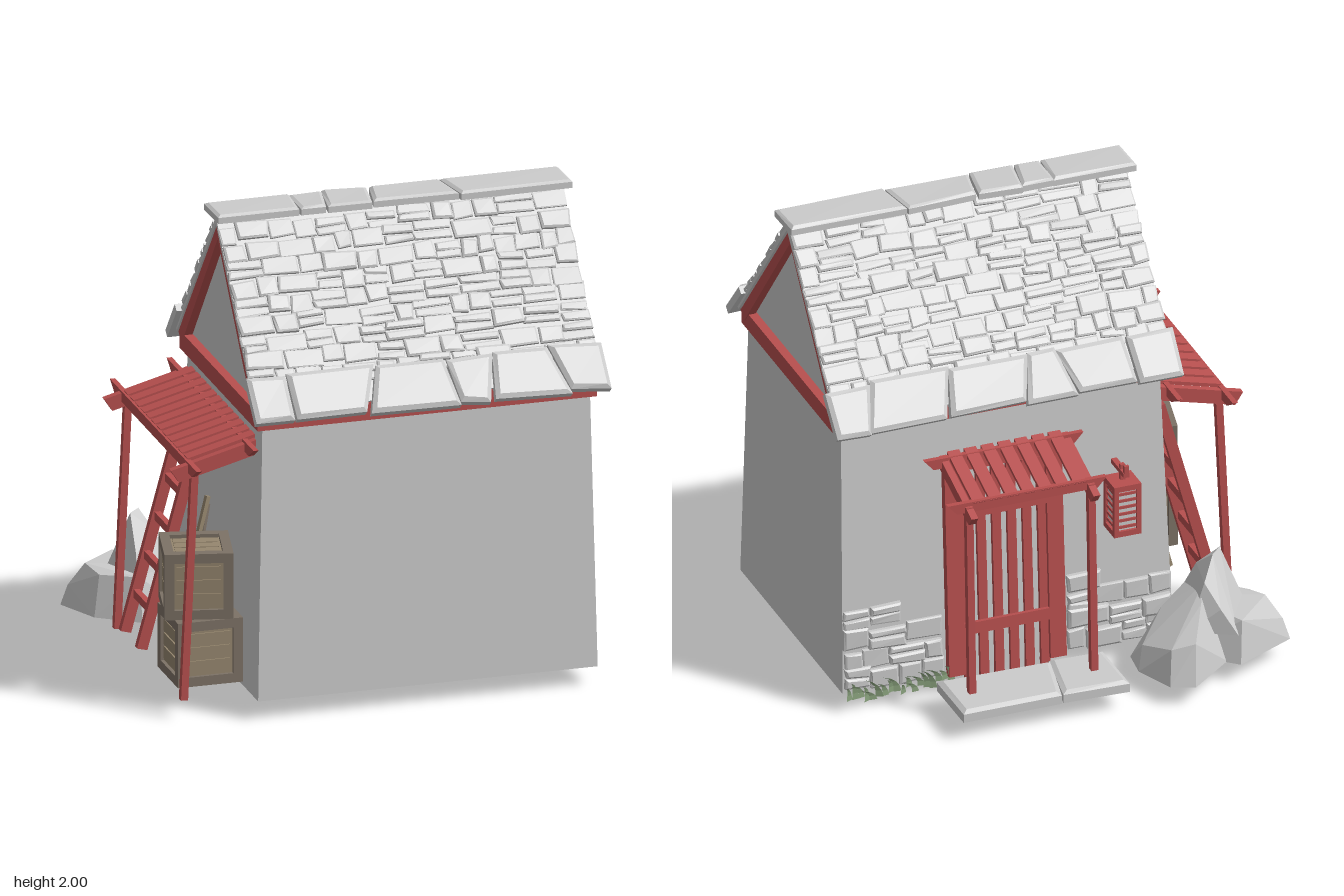
import * as THREE from 'three';
import { ConvexGeometry } from 'three/addons/geometries/ConvexGeometry.js';

const material = (color, extra = {}) => new THREE.MeshStandardMaterial({ color, flatShading: true, ...extra });
const GREY = material(0xcccccc);
const RED = material(0xb8504f);
const FRAME = material(0x7d7266);
const PLANK = material(0x96876f);
const GRASS = material(0x8fa882, { side: THREE.DoubleSide });
const V = (x, y, z) => new THREE.Vector3(x, y, z);

let seed = 7;
const rand = (a = 0, b = 1) => {
  seed = (seed * 16807) % 2147483647;
  return a + (b - a) * (seed / 2147483647);
};

function group(name, parent) {
  const g = new THREE.Group();
  g.name = name;
  parent.add(g);
  return g;
}

function add(parent, name, geometry, mat, x = 0, y = 0, z = 0) {
  const m = new THREE.Mesh(geometry, mat);
  m.name = name;
  m.position.set(x, y, z);
  parent.add(m);
  return m;
}

function reshape(geometry, rule) {
  const p = geometry.attributes.position;
  const v = V(0, 0, 0);
  for (let i = 0; i < p.count; i++) {
    rule(v.fromBufferAttribute(p, i));
    p.setXYZ(i, v.x, v.y, v.z);
  }
  geometry.computeVertexNormals();
  return geometry;
}

const box = (parent, name, mat, w, h, d, x, y, z) => add(parent, name, new THREE.BoxGeometry(w, h, d), mat, x, y, z);

// Timber between two points; cut slants the two ends underneath
function beam(parent, name, a, b, w, h, cut = 0, mat = RED) {
  const L = a.distanceTo(b);
  const g = reshape(new THREE.BoxGeometry(w, h, L), v => { if (v.y < 0) v.z *= (L - 2 * cut) / L; });
  const m = add(parent, name, g, mat);
  m.position.copy(a).lerp(b, 0.5);
  m.lookAt(b);
  return m;
}

// Chipped stone block: y is its thickness, the top is narrowed and uneven
function stone(parent, name, w, t, d, x, y, z, jitter) {
  const j = Array.from({ length: 12 }, () => rand(-jitter, jitter));
  const bevel = Math.min(t * 0.4, w * 0.2, d * 0.2);
  const g = reshape(new THREE.BoxGeometry(w, t, d, 1, 2, 1), v => {
    const k = (v.x > 0 ? 1 : 0) + (v.z > 0 ? 2 : 0);
    const top = v.y > t * 0.25;
    if (top) { v.x -= Math.sign(v.x) * bevel; v.z -= Math.sign(v.z) * bevel; v.y += j[8 + k] * 0.3; }
    else if (v.y > -t * 0.25) v.y += t * 0.25;
    v.x += j[k];
    v.z += j[4 + k];
  });
  return add(parent, name, g, GREY, x, y, z);
}

// Rows of blocks in the x-z plane, some of them split lengthwise or crosswise
function masonry(parent, name, x0, x1, z0, z1, rows, thick, keep = () => true) {
  const d = (z1 - z0) / rows;
  for (let r = 0; r < rows; r++) {
    for (let x = x0; x < x1 - 0.03;) {
      let w = rand(0.07, 0.17);
      if (x1 - x - w < 0.06) w = x1 - x;
      if (keep(r, x)) {
        const split = w > 0.1 && rand() < 0.55 ? 2 : 1;
        const shift = rand(-0.012, 0.012);
        for (let s = 0; s < split; s++) {
          const t = thick * rand(0.6, 1.3);
          const m = stone(parent, name, w - 0.006, t, d / split - 0.004, x + w / 2,
            t / 2, z0 + (r + (s + 0.5) / split) * d + shift, 0.006);
          m.rotation.x = -0.04;
        }
      }
      x += w;
    }
  }
}

// Row of large slabs between listed joints, the joints slanting by skew
function slabs(parent, name, joints, t, d, y, z, skew) {
  const slant = joints.map((_, i) => (i % (joints.length - 1) ? rand(-skew, skew) : 0));
  for (let i = 0; i < joints.length - 1; i++) {
    const w = joints[i + 1] - joints[i];
    const m = stone(parent, name, w - 0.006, t, d * rand(0.92, 1.03), joints[i] + w / 2, y, z + rand(-0.006, 0.006), 0.009);
    reshape(m.geometry, v => { v.x += slant[v.x < 0 ? i : i + 1] * v.z / d; });
  }
}

function buildHouse(root) {
  const g = group('house', root);
  // Walls narrow towards the top
  add(g, 'walls', reshape(new THREE.BoxGeometry(1, 1, 1), v => {
    const top = v.y > 0;
    v.x = v.x > 0 ? (top ? 0.885 : 0.905) : (top ? -0.5 : -0.53);
    v.z = v.z > 0 ? (top ? 0.735 : 0.775) : (top ? -0.275 : -0.345);
    v.y = top ? 1.24 : 0.08;
  }), GREY);
  box(g, 'wallPlate', RED, 1.435, 0.075, 1.06, 0.19, 1.268, 0.228);
  // Gable block under the roof
  const tri = new THREE.Shape([new THREE.Vector2(-0.73, 1.3), new THREE.Vector2(0.28, 1.3), new THREE.Vector2(-0.215, 1.93)]);
  const gable = new THREE.ExtrudeGeometry(tri, { depth: 1.36, bevelEnabled: false });
  gable.rotateY(Math.PI / 2);
  add(g, 'gables', gable, GREY, -0.49, 0, 0);
  for (const x of [-0.51, 0.895])
    for (const z of [0.735, -0.295])
      beam(g, 'bargeBoard', V(x, 1.278, z), V(x, 1.915, 0.215), 0.035, 0.055);
}

function buildRoof(root) {
  const roof = group('roof', root);
  for (const back of [false, true]) {
    const s = group(back ? 'backSlope' : 'frontSlope', roof);
    s.position.set(0.195, 1.965, 0.215);
    s.rotation.order = 'YXZ';
    s.rotation.set(Math.atan2(0.72, 0.6), back ? Math.PI : 0, 0);
    box(s, 'roofDeck', GREY, 1.46, 0.02, 0.85, 0, -0.008, 0.425);
    masonry(s, 'roofTile', -0.735, 0.735, 0.04, 0.76, 9, 0.018);
    slabs(s, 'eaveSlab', [-0.755, -0.58, -0.24, 0.1, 0.27, 0.55, 0.755], 0.045, 0.205, 0.016, 0.81, 0.07);
  }
  slabs(group('ridge', roof), 'ridgeSlab', [-0.55, -0.2, -0.07, 0.12, 0.46, 0.945], 0.035, 0.19, 1.98, 0.205, 0.06);
}

function buildBackWall(root) {
  // Door leaning with the wall
  const door = group('door', root);
  door.position.set(0, 0.08, -0.345);
  door.rotation.x = 0.061;
  for (const x of [-0.02, 0.42]) box(door, 'doorFrame', RED, 0.07, 0.97, 0.05, x, 0.485, -0.01);
  box(door, 'lintel', RED, 0.5, 0.06, 0.05, 0.2, 0.94, -0.01);
  for (let i = 0; i < 6; i++) box(door, 'doorPlank', RED, 0.038, 0.98, 0.02, 0.03 + i * 0.066, 0.41, -0.008);
  for (const y of [0.2, 0.72]) box(door, 'doorBrace', RED, 0.38, 0.05, 0.018, 0.2, y, -0.026);

  // Exposed masonry either side of the door
  const wall = group('exposedStones', root);
  wall.position.set(0, 0.08, -0.345);
  wall.rotation.x = -Math.PI / 2 + 0.061;
  masonry(wall, 'wallStone', 0.47, 0.9, 0.01, 0.37, 4, 0.022, (r, x) => r < 3 || x > 0.65);
  masonry(wall, 'wallStone', -0.52, -0.07, 0.01, 0.35, 4, 0.022, (r, x) => r < 3 || x > -0.3);

  // Porch
  const porch = group('porch', root);
  for (const x of [-0.08, 0.45]) {
    beam(porch, 'porchRafter', V(x, 1.035, -0.28), V(x, 0.925, -0.64), 0.03, 0.05, 0.02);
    beam(porch, 'porchPost', V(x, 0.1, -0.61), V(x, 0.97, -0.575), 0.03, 0.03);
  }
  for (const [y, z] of [[0.965, -0.565], [1.04, -0.31]])
    beam(porch, 'porchCrossbeam', V(-0.15, y, z), V(0.54, y, z), 0.022, 0.045, 0.04);
  for (let i = 0; i < 7; i++) {
    const x = -0.035 + i * 0.073;
    beam(porch, 'porchSlat', V(x, 1.065, -0.28), V(x, 0.975, -0.575), 0.053, 0.015);
  }

  // Louvred lantern on a bracket
  const lamp = group('lantern', root);
  box(lamp, 'lanternCore', GREY, 0.095, 0.2, 0.095, -0.292, 0.735, -0.39);
  for (const y of [0.632, 0.838]) box(lamp, 'lanternCap', RED, 0.118, 0.025, 0.118, -0.292, y, -0.39);
  for (const sx of [-1, 1]) for (const sz of [-1, 1])
    box(lamp, 'lanternCorner', RED, 0.02, 0.2, 0.02, -0.292 + sx * 0.049, 0.735, -0.39 + sz * 0.049);
  for (let i = 0; i < 6; i++) box(lamp, 'lanternLouvre', RED, 0.106, 0.012, 0.106, -0.292, 0.66 + i * 0.03, -0.39);
  box(lamp, 'lanternHanger', RED, 0.02, 0.08, 0.02, -0.292, 0.88, -0.385);
  box(lamp, 'lanternBracket', RED, 0.025, 0.02, 0.14, -0.292, 0.89, -0.365);
  box(lamp, 'lanternHook', RED, 0.02, 0.045, 0.014, -0.292, 0.91, -0.43);

  // Grass tufts bending along the wall
  const grass = group('grass', root);
  for (let i = 0; i < 18; i++) {
    const len = rand(0.08, 0.13), lean = rand(0.03, 0.09);
    const blade = reshape(new THREE.PlaneGeometry(0.032, len, 1, 4), v => {
      const t = v.y / len + 0.5;
      v.x = v.x * (1.05 - t) + lean * t * t;
      v.z = -0.03 * t * t;
      v.y = len * (t - 0.25 * t * t);
    });
    add(grass, 'grassBlade', blade, GRASS, 0.44 + i * 0.026, rand(0.035, 0.07), -0.362).rotation.y = rand(-0.5, 0.5);
  }
}

function buildLeanTo(root) {
  const g = group('leanTo', root);
  for (const z of [-0.245, 0.66]) {
    beam(g, 'leanToRafter', V(-0.5, 1.135, z), V(-0.86, 1.04, z), 0.03, 0.06, 0.02);
    beam(g, 'leanToPost', V(-0.81, 0.08, z), V(-0.765, 1.05, z), 0.03, 0.03);
  }
  for (const [x, y] of [[-0.785, 1.075], [-0.545, 1.14]])
    beam(g, 'leanToCrossbeam', V(x, y, -0.385), V(x, y, 0.795), 0.022, 0.045, 0.07);
  for (let i = 0; i < 12; i++) {
    const z = -0.195 + i * 0.0735;
    beam(g, 'leanToSlat', V(-0.5, 1.17, z), V(-0.785, 1.095, z), 0.054, 0.015);
  }

  // Ladder against the wall
  const ladder = group('ladder', root);
  for (const z of [-0.2, 0.02]) beam(ladder, 'ladderRail', V(-0.79, 0.08, z), V(-0.525, 1.05, z), 0.03, 0.045);
  for (let i = 1; i < 6; i++) {
    const t = i / 6, x = -0.79 + 0.265 * t, y = 0.08 + 0.97 * t;
    beam(ladder, 'ladderRung', V(x, y, -0.21), V(x, y, 0.03), 0.025, 0.035);
  }
  // Poles leaning on the wall
  beam(root, 'pole', V(-0.72, 0.08, 0.17), V(-0.54, 0.74, 0.12), 0.018, 0.018, 0, PLANK);
  beam(root, 'pole', V(-0.69, 0.08, 0.22), V(-0.535, 0.7, 0.1), 0.018, 0.018, 0, FRAME);
}

// Plank crate with a raised border on every face
function crate(root, s, x, y, z, turn) {
  const c = group('crate', root);
  c.position.set(x, y, z);
  c.rotation.y = turn;
  const h = s / 2, b = 0.04;
  box(c, 'crateCore', PLANK, s - 0.03, s - 0.03, s - 0.03, 0, 0, 0);
  for (const i of [-1, 1]) for (const j of [-1, 1]) {
    const p = i * (h - b / 2), q = j * (h - b / 2);
    box(c, 'crateEdge', FRAME, s, b, b, 0, p, q);
    box(c, 'crateEdge', FRAME, b, s, b, p, 0, q);
    box(c, 'crateEdge', FRAME, b, b, s, p, q, 0);
  }
  for (let i = -1; i <= 1; i++) {
    box(c, 'cratePlank', PLANK, s - 0.018, 0.05, s - 0.1, 0, i * 0.058, 0);
    box(c, 'cratePlank', PLANK, s - 0.1, 0.05, s - 0.018, 0, i * 0.058, 0);
    box(c, 'cratePlank', PLANK, s - 0.1, s - 0.018, 0.05, 0, 0, i * 0.058);
  }
}

function buildStones(root) {
  // Doorstep cracked in two along a slanting line
  slabs(group('doorstep', root), 'stepSlab', [-0.18, 0.08, 0.55], 0.05, 0.3, 0.107, -0.61, 0.14);

  // Boulder: a low shelf, a peak and a sloping outer lump
  const rock = group('boulder', root);
  const lump = pts => add(rock, 'boulderLump', new ConvexGeometry(pts.map(p => V(...p))), GREY);
  lump([[-0.945, 0.08, -0.58], [-0.68, 0.08, -0.71], [-0.48, 0.08, -0.53], [-0.48, 0.08, -0.35], [-0.695, 0.08, -0.27],
    [-0.86, 0.08, -0.39], [-0.92, 0.17, -0.56], [-0.86, 0.27, -0.52], [-0.7, 0.26, -0.67], [-0.69, 0.26, -0.31],
    [-0.83, 0.25, -0.42], [-0.55, 0.27, -0.4]]);
  lump([[-0.8, 0.2, -0.5], [-0.68, 0.2, -0.68], [-0.5, 0.2, -0.58], [-0.52, 0.2, -0.34], [-0.7, 0.2, -0.32],
    [-0.69, 0.34, -0.37], [-0.6, 0.42, -0.42], [-0.69, 0.49, -0.45], [-0.64, 0.49, -0.5], [-0.58, 0.4, -0.56], [-0.62, 0.31, -0.64]]);
  lump([[-0.64, 0.08, -0.66], [-0.44, 0.08, -0.82], [-0.345, 0.08, -0.78], [-0.275, 0.08, -0.61], [-0.29, 0.08, -0.48],
    [-0.5, 0.08, -0.33], [-0.6, 0.08, -0.3], [-0.46, 0.25, -0.77], [-0.37, 0.22, -0.73], [-0.31, 0.17, -0.56],
    [-0.6, 0.37, -0.5], [-0.55, 0.33, -0.6], [-0.45, 0.25, -0.42], [-0.58, 0.33, -0.38]]);
}

export function createModel() {
  seed = 7;
  const root = new THREE.Group();
  root.name = 'stoneRoofedHouse';
  buildHouse(root);
  buildRoof(root);
  buildBackWall(root);
  buildLeanTo(root);
  crate(root, 0.275, -0.667, 0.233, 0.43, 0);
  crate(root, 0.28, -0.685, 0.52, 0.43, -0.22);
  buildStones(root);
  return root;
}
